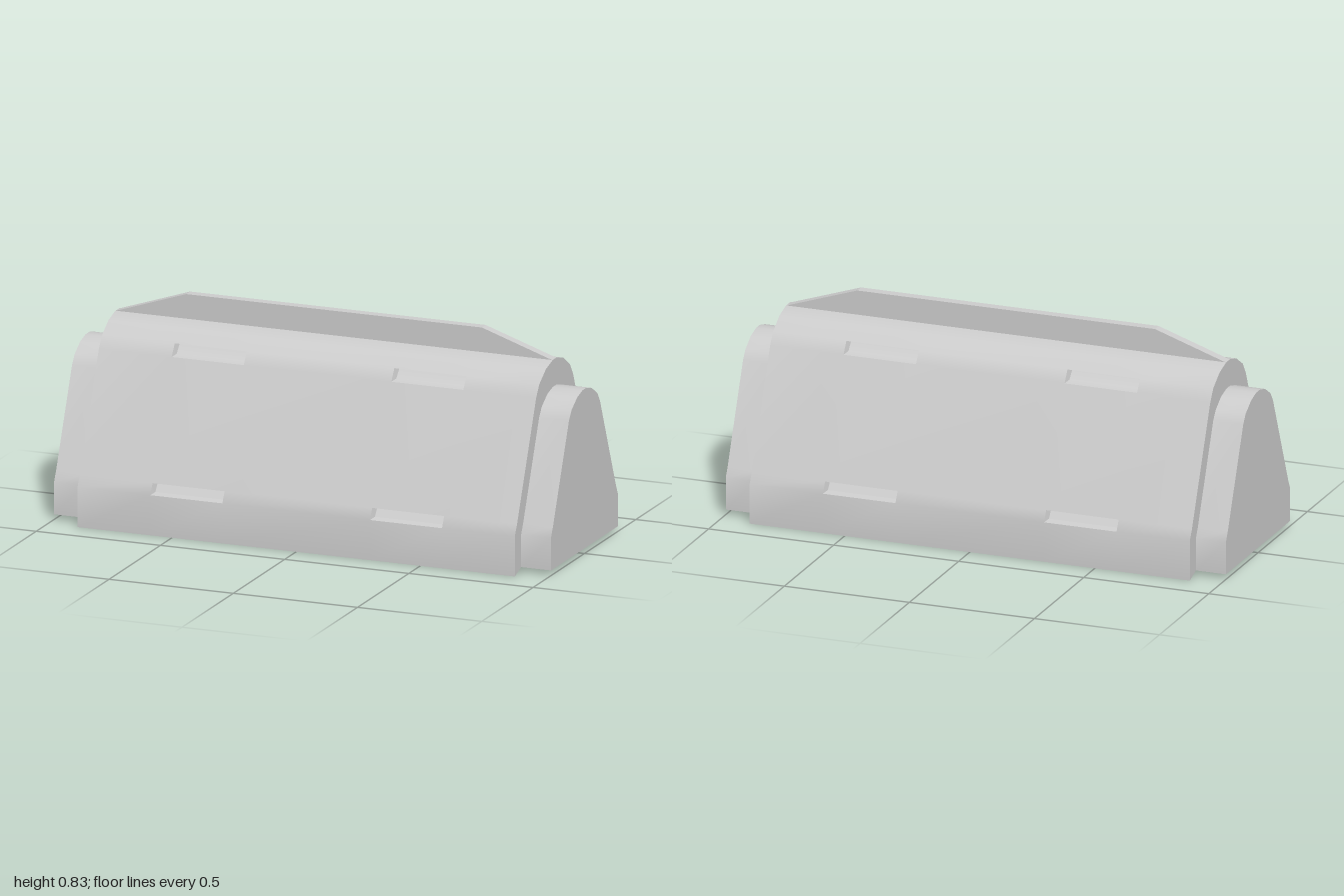
import * as THREE from 'three';
import { toCreasedNormals } from 'three/addons/utils/BufferGeometryUtils.js';

// Half cross-sections as [z, y], from the bottom edge up to the crown
const HOOD = [[0.388, 0], [0.388, 0.155], [0.366, 0.196], [0.18, 0.635], [0.15, 0.68], [0.085, 0.722], [0.02, 0.74]];
const SLEEVE = [[0.326, 0.02], [0.326, 0.146], [0.307, 0.183], [0.151, 0.552], [0.126, 0.587], [0.071, 0.622], [0.018, 0.636]];
const HOOD_X = 0.88;
const END_X = 1;

const mirrored = half => [...half, ...half.map(([z, y]) => [-z, y]).reverse()];

function makeMesh(name, quads) {
  const positions = [];
  for (const [a, b, c, d] of quads) {
    positions.push(...a, ...b, ...c);
    if (d) positions.push(...a, ...c, ...d);
  }
  const geometry = new THREE.BufferGeometry();
  geometry.setAttribute('position', new THREE.Float32BufferAttribute(positions, 3));
  const material = new THREE.MeshStandardMaterial({ color: 0xcccccc, side: THREE.DoubleSide });
  const mesh = new THREE.Mesh(toCreasedNormals(geometry, 0.65), material);
  mesh.name = name;
  return mesh;
}

// Skin swept along x; quads chosen by isSlot are collected instead of filled
function sweep(profile, xs, isSlot = () => false) {
  const skin = [], slots = [];
  for (let i = 0; i < profile.length - 1; i++) {
    for (let j = 0; j < xs.length - 1; j++) {
      const at = (p, x) => [x, p[1], p[0]];
      const quad = [
        at(profile[i], xs[j]), at(profile[i], xs[j + 1]),
        at(profile[i + 1], xs[j + 1]), at(profile[i + 1], xs[j]),
      ];
      (isSlot(i, j) ? slots : skin).push(quad);
    }
  }
  return { skin, slots };
}

// Shallow recess with slightly tapered walls, sunk towards the centre
function recess(quad) {
  const centre = [0, 1, 2].map(k => quad.reduce((sum, p) => sum + p[k] / 4, 0));
  const floor = quad.map(([x, y, z]) => [
    x - Math.sign(x - centre[0]) * 0.008,
    y - Math.sign(y - centre[1]) * 0.006,
    z - Math.sign(z) * 0.03,
  ]);
  const walls = quad.map((p, k) => {
    const n = (k + 1) % 4;
    return [p, quad[n], floor[n], floor[k]];
  });
  return [floor, ...walls];
}

export function createModel() {
  const group = new THREE.Group();
  const hood = mirrored(HOOD);
  const sleeve = mirrored(SLEEVE);

  // Main hood, open underneath, with two rows of slots on each side
  const slotRows = [1, 3, 9, 11];
  const { skin, slots } = sweep(
    hood,
    [-HOOD_X, -0.587, -0.297, 0.297, 0.587, HOOD_X],
    (i, j) => slotRows.includes(i) && (j === 1 || j === 3),
  );
  group.add(makeMesh('hood', skin));
  slots.forEach((quad, i) => group.add(makeMesh(`slot${i + 1}`, recess(quad))));

  // Stepped ends: collar, narrower sleeve and flat end panel
  for (const side of [1, -1]) {
    const end = new THREE.Group();
    end.name = side > 0 ? 'leftEnd' : 'rightEnd';
    const at = (p, x) => [side * x, p[1], p[0]];
    const facing = face => (side > 0 ? face : face.reverse());

    const collar = [], panel = [];
    for (let i = 0; i < hood.length - 1; i++) {
      collar.push(facing([
        at(hood[i], HOOD_X), at(sleeve[i], HOOD_X),
        at(sleeve[i + 1], HOOD_X), at(hood[i + 1], HOOD_X),
      ]));
      if (i > 0) panel.push(facing([at(sleeve[0], END_X), at(sleeve[i + 1], END_X), at(sleeve[i], END_X)]));
    }
    const span = side > 0 ? [HOOD_X, END_X] : [-END_X, -HOOD_X];
    end.add(
      makeMesh('collar', collar),
      makeMesh('sleeve', sweep(sleeve, span).skin),
      makeMesh('endPanel', panel),
    );
    group.add(end);
  }

  // Ridge fin along the crown
  const outline = new THREE.Shape([[-0.88, 0.739], [0.88, 0.739], [0.595, 0.835], [-0.595, 0.835]]
    .map(([x, y]) => new THREE.Vector2(x, y)));
  const finGeometry = new THREE.ExtrudeGeometry(outline, { depth: 0.038, bevelEnabled: false });
  finGeometry.translate(0, 0, -0.019);
  const fin = new THREE.Mesh(finGeometry, new THREE.MeshStandardMaterial({ color: 0xcccccc }));
  fin.name = 'ridgeFin';
  group.add(fin);

  return group;
}
